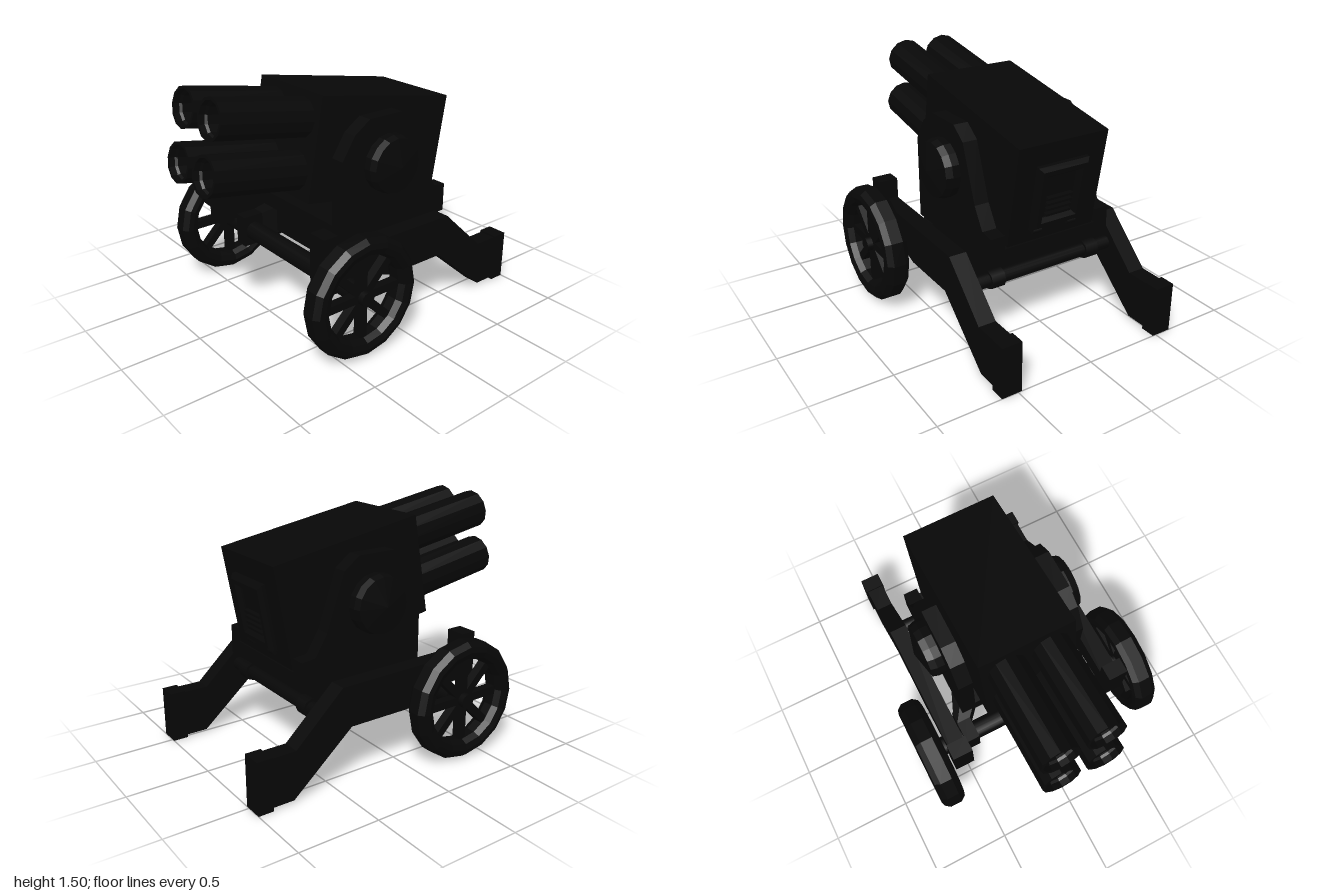
import * as THREE from 'three';
import { ConvexGeometry } from 'three/addons/geometries/ConvexGeometry.js';

const iron = new THREE.MeshStandardMaterial({ color: 0x070707 });
iron.name = 'black iron';
const V = (x, y) => new THREE.Vector2(x, y);

function add(parent, name, geometry, x = 0, y = 0, z = 0) {
  const mesh = new THREE.Mesh(geometry, iron);
  mesh.name = name;
  mesh.position.set(x, y, z);
  parent.add(mesh);
  return mesh;
}

// Box given by its lower and upper corners
function box(parent, name, [x0, y0, z0], [x1, y1, z1]) {
  return add(parent, name, new THREE.BoxGeometry(x1 - x0, y1 - y0, z1 - z0),
    (x0 + x1) / 2, (y0 + y1) / 2, (z0 + z1) / 2);
}

// Plate cut from a [z, y] outline, spanning x0..x1
function sidePlate(points, x0, x1) {
  const shape = new THREE.Shape(points.map(([z, y]) => V(-z, y)));
  const g = new THREE.ExtrudeGeometry(shape, { depth: x1 - x0, bevelEnabled: false });
  return g.rotateY(Math.PI / 2).translate(x0, 0, 0);
}

// Faceted turned part
function turned(points, sides) {
  const g = new THREE.LatheGeometry(points.map(([r, h]) => V(r, h)), sides).toNonIndexed();
  g.computeVertexNormals();
  return g;
}

function rod(parent, name, radius, length, x, y, z, sides = 12) {
  const g = new THREE.CylinderGeometry(radius, radius, length, sides).rotateZ(Math.PI / 2);
  return add(parent, name, g, x, y, z);
}

function makeWheel() {
  const wheel = new THREE.Group();
  wheel.name = 'wheel';
  // Rim with a rounded, faceted section
  const section = [[0.26, 0.03], [0.26, -0.03], [0.28, -0.067], [0.315, -0.08], [0.345, -0.072],
    [0.371, -0.038], [0.371, 0.038], [0.345, 0.072], [0.315, 0.08], [0.28, 0.067], [0.26, 0.03]];
  add(wheel, 'rim', turned(section, 16).rotateZ(-Math.PI / 2));
  rod(wheel, 'hub', 0.045, 0.13, 0, 0, 0);
  for (let i = 0; i < 4; i++) {
    const spoke = add(wheel, 'spokePair', new THREE.BoxGeometry(0.055, 0.55, 0.05));
    spoke.rotation.x = i * Math.PI / 4;
  }
  return wheel;
}

function makeTrail(s) {
  const trail = new THREE.Group();
  trail.name = s > 0 ? 'leftTrail' : 'rightTrail';
  const outline = [[0.5, 0.45], [0.25, 0.43], [0.02, 0.35], [-0.38, 0.35], [-0.77, 0.015],
    [-0.95, 0.015], [-0.95, 0.31], [-0.75, 0.31], [-0.44, 0.6], [0.5, 0.61]];
  const [a, b] = s > 0 ? [0.485, 0.595] : [-0.595, -0.485];
  add(trail, 'trailBeam', sidePlate(outline, a, b));
  const [c, d] = s > 0 ? [0.478, 0.605] : [-0.605, -0.478];
  box(trail, 'trailFrontCap', [c, 0.43, 0.435], [d, 0.735, 0.535]);
  box(trail, 'trailFoot', [c, 0, -1], [d, 0.32, -0.905]);
  return trail;
}

function makeBody() {
  const body = new THREE.Group();
  body.name = 'tiltedBody';
  body.position.set(0, 1.035, -0.142);
  body.rotation.x = -0.172;
  add(body, 'housing', new THREE.BoxGeometry(0.6, 0.63, 1.005));

  // Barrels, bored through to the housing, with a slight lip
  const profile = [[0.121, 0.47], [0.121, 1.115], [0.104, 1.115], [0.104, 1.08], [0.096, 1.065],
    [0.096, 0.51], [0, 0.51]];
  const tube = turned(profile, 12).rotateX(Math.PI / 2);
  for (const x of [-0.138, 0.138]) {
    for (const y of [-0.156, 0.158]) add(body, 'barrel', tube, x, y, 0);
  }

  // Rear hatch: bevelled frame, recessed door and slats
  const rect = (w, y0, y1) => [V(-w, y0), V(w, y0), V(w, y1), V(-w, y1)];
  const frame = new THREE.Shape(rect(0.15, -0.205, 0.161));
  frame.holes.push(new THREE.Path(rect(0.122, -0.177, 0.133)));
  const frameGeo = new THREE.ExtrudeGeometry(frame, {
    depth: 0.022, bevelThickness: 0.024, bevelSize: 0.022, bevelSegments: 1,
  });
  add(body, 'hatchFrame', frameGeo.rotateY(Math.PI), 0, 0, -0.504);
  box(body, 'hatchDoor', [-0.11, -0.165, -0.515], [0.11, 0.12, -0.5]);
  for (let i = 0; i < 4; i++) {
    const y = -0.145 + i * 0.035;
    box(body, 'hatchSlat', [-0.085, y, -0.54], [0.085, y + 0.016, -0.51]);
  }
  for (const x of [-0.12, 0.12]) rod(body, 'hatchHinge', 0.02, 0.06, x, -0.24, -0.51, 8);
  return body;
}

export function createModel() {
  const model = new THREE.Group();
  model.name = 'fourBarrelCannon';
  model.add(makeBody());

  // Carriage floor
  box(model, 'carriageFloor', [-0.41, 0.537, -0.59], [0.41, 0.635, 0.25]);
  box(model, 'lowerFrame', [-0.38, 0.36, -0.47], [0.38, 0.54, 0.21]);

  // Axle and rear crossbar
  rod(model, 'axle', 0.063, 1.3, 0, 0.373, 0.345);
  rod(model, 'rearCrossbar', 0.042, 0.98, 0, 0.42, -0.51);

  const cheek = [[0.25, 0.537], [0.25, 1.06], [0.16, 1.2], [0.05, 1.275], [-0.2, 1.275],
    [-0.3, 1.2], [-0.42, 0.86], [-0.5, 0.73], [-0.59, 0.72], [-0.59, 0.537]];
  const cap = [[0, 0.31], [0.18, 0.31], [0.18, 0.46], [0.168, 0.502], [0, 0.543]];

  for (const s of [1, -1]) {
    // Side cheek and faceted trunnion cap
    add(model, 'sideCheek', s > 0 ? sidePlate(cheek, 0.32, 0.413) : sidePlate(cheek, -0.413, -0.32));
    const trunnion = add(model, 'trunnionCap', turned(cap, 16), 0, 0.985, -0.092);
    trunnion.rotation.z = -s * Math.PI / 2;

    // Axle bracket flaring out from the carriage
    const P = (x, y, z) => new THREE.Vector3(s * x, y, z);
    const clamp = [], arm = [];
    for (const y of [0.277, 0.48]) {
      for (const x of [0.38, 0.47]) {
        clamp.push(P(x, y, 0.2), P(x, y, 0.42));
        arm.push(P(x, y, 0.22), P(x, y, 0.28));
      }
    }
    for (const y of [0.35, 0.537]) {
      for (const x of [0.3, 0.41]) arm.push(P(x, y, 0.08), P(x, y, 0.2));
    }
    add(model, 'axleClamp', new ConvexGeometry(clamp));
    add(model, 'axleArm', new ConvexGeometry(arm));

    // Crossbar collar against the frame
    rod(model, 'crossbarCollar', 0.058, 0.09, s * 0.34, 0.42, -0.51, 8);

    model.add(makeTrail(s));
    const wheel = makeWheel();
    wheel.position.set(s * 0.7, 0.374, 0.35);
    model.add(wheel);
  }
  return model;
}
